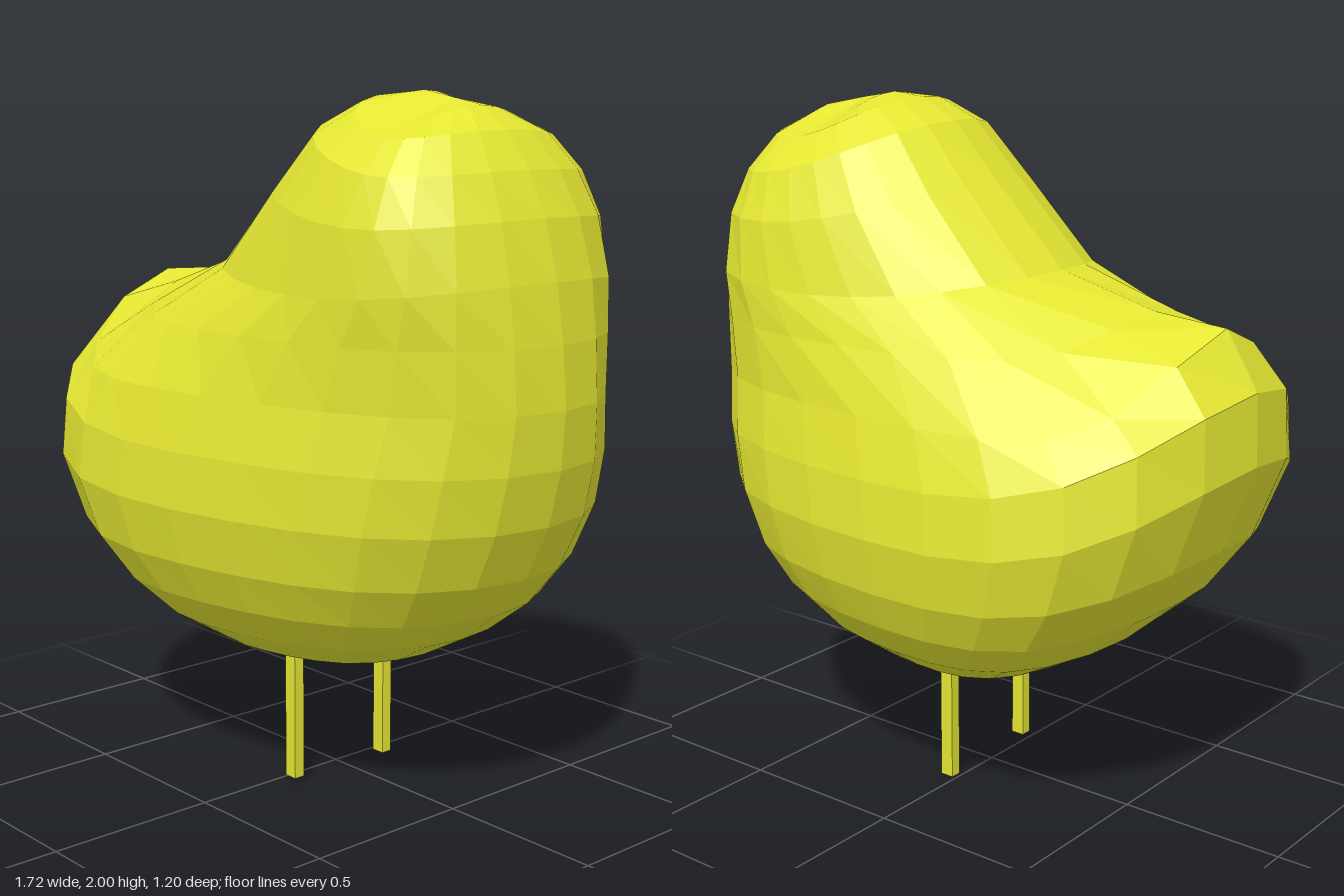
import * as THREE from 'three';

// Body rings from bottom to top: tail-side x, y, head-side x, y, half depth
const RINGS = [
  [-0.16, 0.37, 0.18, 0.365, 0.17],
  [-0.30, 0.41, 0.34, 0.41, 0.31],
  [-0.48, 0.51, 0.49, 0.49, 0.43],
  [-0.64, 0.65, 0.62, 0.59, 0.515],
  [-0.77, 0.83, 0.72, 0.71, 0.575],
  [-0.86, 1.08, 0.80, 0.87, 0.605],
  [-0.85, 1.28, 0.84, 1.03, 0.59],
  [-0.75, 1.44, 0.855, 1.19, 0.545],
  [-0.53, 1.46, 0.845, 1.36, 0.49],
  [-0.23, 1.54, 0.825, 1.52, 0.455],
  [0.00, 1.77, 0.785, 1.68, 0.425],
  [0.15, 1.93, 0.73, 1.80, 0.37],
  [0.27, 1.99, 0.66, 1.90, 0.285],
  [0.37, 2.00, 0.58, 1.96, 0.15],
];
const SIDES = 24;

function bodyGeometry() {
  const positions = [];
  const index = [];
  RINGS.forEach(([tailX, tailY, headX, headY, depth], i) => {
    // the tail is pulled up to a narrow crest, the neck tilts evenly
    const lift = i < 7 ? 8 : i < 9 ? 20 : 1.2;
    const droop = i < 9 ? 0 : 0.05; // neck and crown fall away at the sides
    const taper = i < 8 ? -0.14 : i < 9 ? 0 : 0.1; // fuller at the tail below, at the head above
    for (let j = 0; j < SIDES; j++) {
      const t = (j / SIDES) * Math.PI * 2;
      const c = Math.cos(t);
      const s = Math.sin(t);
      const x = (tailX + headX) / 2 + ((headX - tailX) / 2) * c;
      const y = headY + (tailY - headY) * Math.pow((1 - c) / 2, lift) - droop * s * s;
      // blunt ends, with a slight skew and lean
      const egg = 0.975 + taper * c + 0.28 * c * c;
      const z = depth * egg * s - 0.045 * x + 0.03 * (y - 1);
      positions.push(x, y, z);
    }
  });
  const bottom = RINGS.length * SIDES;
  const top = bottom + 1;
  positions.push(0.03, 0.35, 0, 0.48, 1.98, 0.01);

  for (let j = 0; j < SIDES; j++) {
    const k = (j + 1) % SIDES;
    for (let i = 0; i < RINGS.length - 1; i++) {
      const a = i * SIDES + j;
      const b = i * SIDES + k;
      index.push(a, a + SIDES, b + SIDES, a, b + SIDES, b);
    }
    const last = (RINGS.length - 1) * SIDES;
    index.push(bottom, j, k, top, last + k, last + j);
  }
  const geometry = new THREE.BufferGeometry();
  geometry.setAttribute('position', new THREE.Float32BufferAttribute(positions, 3));
  geometry.setIndex(index);
  geometry.computeVertexNormals();
  return geometry;
}

export function createModel() {
  const model = new THREE.Group();
  model.name = 'bird';
  const material = new THREE.MeshStandardMaterial({ color: 0xe4e632, flatShading: true });

  // Body with head and tail in one skin
  const body = new THREE.Mesh(bodyGeometry(), material);
  body.name = 'body';
  model.add(body);

  // Two thin square legs
  for (const [name, z, foot] of [['leftLeg', -0.16, 0], ['rightLeg', 0.19, 0.01]]) {
    const height = 0.4 - foot;
    const leg = new THREE.Mesh(new THREE.BoxGeometry(0.042, height, 0.034), material);
    leg.name = name;
    leg.position.set(0.033, foot + height / 2, z);
    model.add(leg);
  }
  return model;
}
